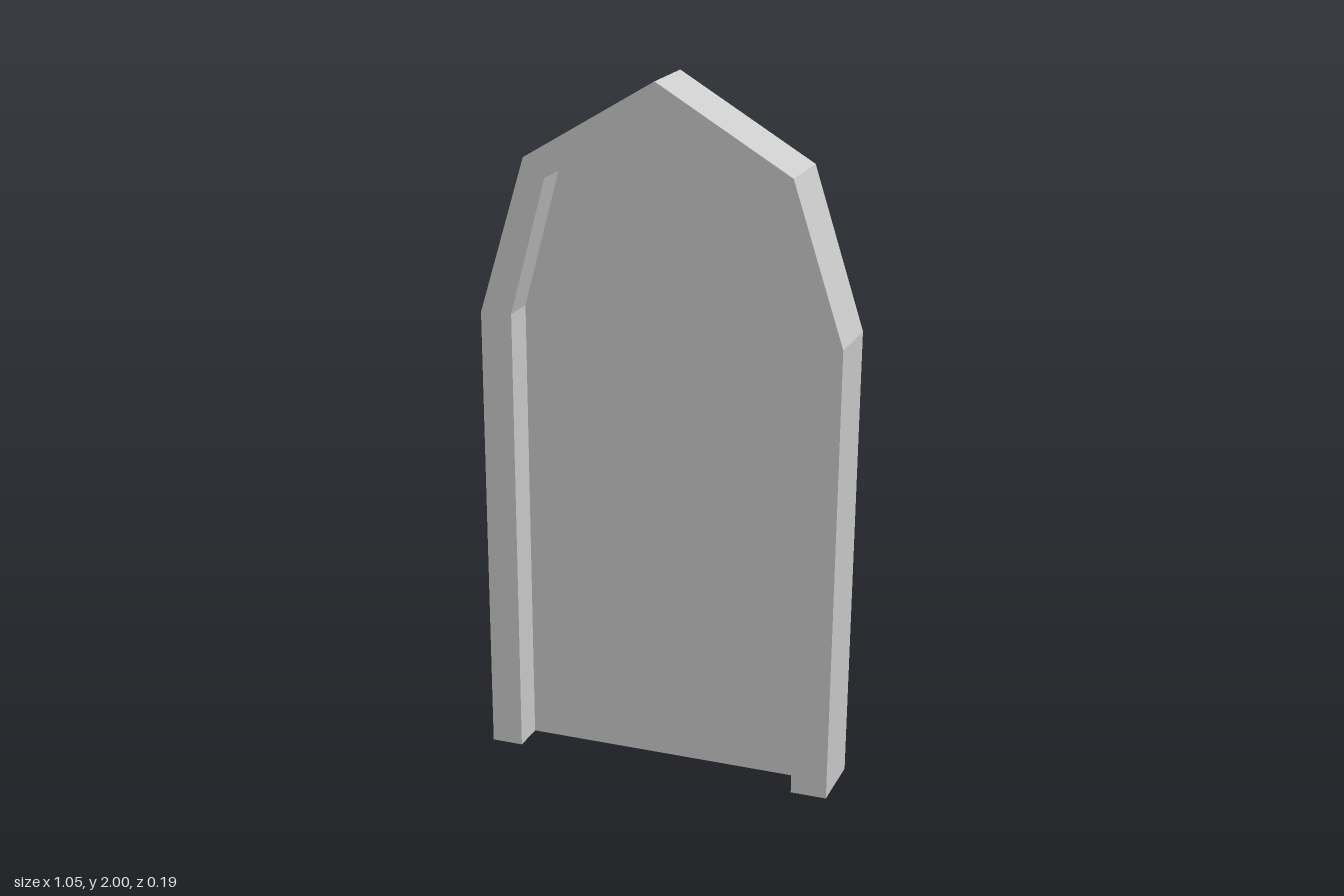
import * as THREE from 'three';

const FRONT_Z = 0.097;

// Pointed-arch outlines, from the right foot over the tip to the left foot
const OUTER = [[-0.525, 0], [-0.525, 1.325], [-0.387, 1.772], [-0.007, 2], [0.377, 1.772], [0.522, 1.325], [0.507, 0]];
const INNER = [[-0.433, 0], [-0.433, 1.328], [-0.325, 1.72], [-0.007, 1.892], [0.311, 1.72], [0.413, 1.325], [0.403, 0]];

const toShape = (points) => new THREE.Shape(points.map(([x, y]) => new THREE.Vector2(x, y)));

export function createModel() {
  const group = new THREE.Group();
  group.name = 'archedDoorway';

  // Surround: open-footed arch, very slightly deeper at the top of the back
  const frameGeometry = new THREE.ExtrudeGeometry(toShape([...OUTER, ...[...INNER].reverse()]), {
    depth: 1, bevelEnabled: false,
  });
  const position = frameGeometry.attributes.position;
  for (let i = 0; i < position.count; i++) {
    const backZ = position.getY(i) > 1.5 ? -0.098 : -0.093;
    position.setZ(i, position.getZ(i) > 0.5 ? FRONT_Z : backZ);
  }
  frameGeometry.computeVertexNormals();
  const frame = new THREE.Mesh(
    frameGeometry,
    new THREE.MeshStandardMaterial({ color: 0xcccccc, flatShading: true }),
  );
  frame.name = 'frame';

  // Thin panel filling the opening at mid depth, seen from both sides
  const panel = new THREE.Mesh(
    new THREE.ShapeGeometry(toShape(INNER)),
    new THREE.MeshStandardMaterial({ color: 0xcccccc, flatShading: true, side: THREE.DoubleSide }),
  );
  panel.name = 'panel';

  group.add(frame, panel);
  return group;
}
